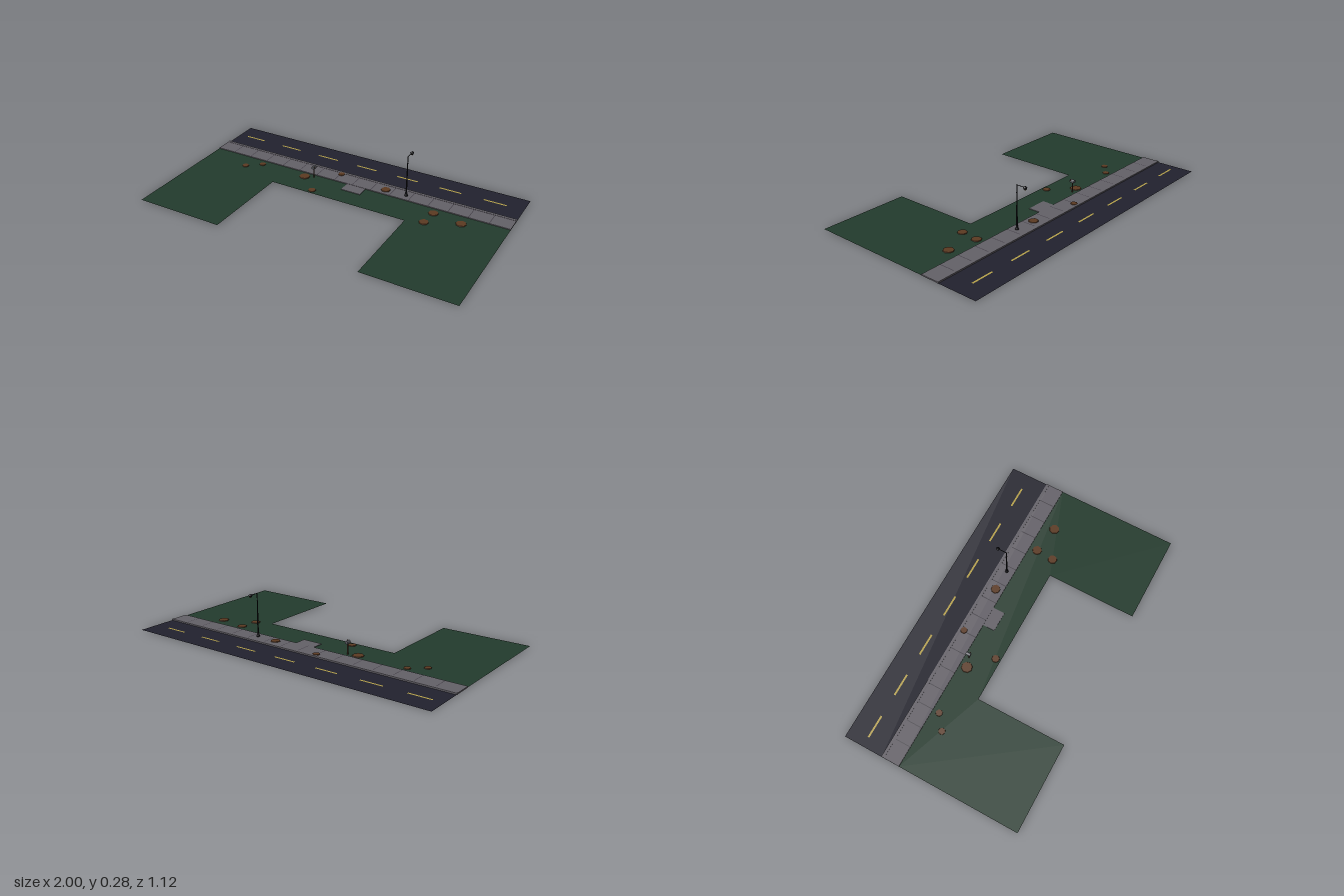
import * as THREE from 'three';

const mat = (name, color, side = THREE.FrontSide) => {
  const m = new THREE.MeshStandardMaterial({ color, side });
  m.name = name;
  return m;
};

export function createModel() {
  const root = new THREE.Group();
  root.name = 'streetFront';

  const asphalt = mat('asphalt', 0x22222e, THREE.DoubleSide);
  const grass = mat('grass', 0x233b2d, THREE.DoubleSide);
  const concrete = mat('concrete', 0x646168);
  const joint = mat('joint', 0x454249);
  const paint = mat('roadPaint', 0xb5a04a);
  const leaf = mat('leaves', 0x5c3a22);
  const iron = mat('iron', 0x141418);
  const glow = mat('lampGlow', 0xd8b860);
  const wood = mat('wood', 0x4a3526);
  const tin = mat('tin', 0x5a5c62);

  const add = (parent, name, geo, material, x = 0, y = 0, z = 0) => {
    const mesh = new THREE.Mesh(geo, material);
    mesh.name = name;
    mesh.position.set(x, y, z);
    parent.add(mesh);
    return mesh;
  };
  // Box given by its limits on each axis
  const slab = (parent, name, material, [x0, x1], [y0, y1], [z0, z1]) =>
    add(parent, name, new THREE.BoxGeometry(x1 - x0, y1 - y0, z1 - z0), material,
      (x0 + x1) / 2, (y0 + y1) / 2, (z0 + z1) / 2);
  const flat = (w, d) => new THREE.PlaneGeometry(w, d).rotateX(-Math.PI / 2);

  // Road with dashed centre line
  add(root, 'road', flat(2, 0.245), asphalt, 0, 0.001, -0.4375);
  for (let i = 0; i < 7; i++)
    add(root, 'laneDash', flat(0.14, 0.011), paint, -0.87 + i * 0.2825, 0.0025, -0.44);

  // U-shaped lawn around the empty house plot
  const u = new THREE.Shape([
    [-1, 0.2], [-1, -0.56], [-0.445, -0.56], [-0.445, 0],
    [0.445, 0], [0.445, -0.56], [1, -0.56], [1, 0.2],
  ].map(([x, y]) => new THREE.Vector2(x, y)));
  add(root, 'lawn', new THREE.ShapeGeometry(u).rotateX(-Math.PI / 2), grass, 0, 0.003, 0);

  // Sidewalk, curb, slab joints and front path
  slab(root, 'sidewalk', concrete, [-1, 1], [0.001, 0.008], [-0.298, -0.2]);
  slab(root, 'curb', concrete, [-1, 1], [0, 0.0095], [-0.316, -0.298]);
  for (let i = 0; i < 15; i++)
    add(root, 'sidewalkJoint', flat(0.005, 0.094), joint, -0.875 + i * 0.125, 0.0087, -0.248);
  slab(root, 'frontPath', concrete, [-0.034, 0.093], [0.001, 0.0065], [-0.2, -0.125]);

  // Fallen leaf piles: x, z, radius, ground height
  [
    [-0.71, -0.09, 0.021, 0.003], [-0.625, -0.158, 0.021, 0.003],
    [-0.31, -0.155, 0.034, 0.003], [-0.183, -0.032, 0.024, 0.003],
    [-0.119, -0.284, 0.021, 0.008], [0.205, -0.248, 0.029, 0.008],
    [0.558, -0.15, 0.03, 0.003], [0.548, -0.037, 0.029, 0.003],
    [0.738, -0.123, 0.032, 0.003],
  ].forEach(([x, z, r, y], i) => {
    const pile = add(root, 'leafPile', new THREE.CylinderGeometry(r * 0.95, r, 0.004, 8),
      leaf, x, y + 0.002, z);
    pile.rotation.y = i * 0.7;
  });

  // Street lamp: turned post, arm over the road and hooded lantern
  const lamp = new THREE.Group();
  lamp.name = 'streetLamp';
  lamp.position.set(0.341, 0.008, -0.245);
  root.add(lamp);
  const profile = [
    [0, 0], [0.01, 0], [0.01, 0.004], [0.007, 0.01], [0.005, 0.016], [0.005, 0.019],
    [0.007, 0.019], [0.007, 0.022], [0.0045, 0.024], [0.0035, 0.185], [0.0028, 0.187],
    [0.0028, 0.215], [0.0045, 0.216], [0.0045, 0.219], [0.0026, 0.22],
    [0.0026, 0.264], [0, 0.264],
  ].map(([r, y]) => new THREE.Vector2(r, y));
  add(lamp, 'lampPost', new THREE.LatheGeometry(profile, 12), iron);
  add(lamp, 'lampArm', new THREE.CylinderGeometry(0.0023, 0.0023, 0.058, 8).rotateX(Math.PI / 2),
    iron, 0, 0.262, -0.028);
  add(lamp, 'lampHood', new THREE.CylinderGeometry(0.004, 0.012, 0.009, 10), iron, 0, 0.2655, -0.057);
  add(lamp, 'lampBody', new THREE.CylinderGeometry(0.01, 0.008, 0.009, 10), iron, 0, 0.257, -0.057);
  add(lamp, 'lampBulb', new THREE.SphereGeometry(0.007, 10, 6), glow, 0, 0.253, -0.057);

  // Mailbox with rounded top on a post
  const mailbox = new THREE.Group();
  mailbox.name = 'mailbox';
  mailbox.position.set(-0.252, 0.003, -0.173);
  root.add(mailbox);
  slab(mailbox, 'mailboxPost', wood, [-0.0025, 0.0025], [0, 0.066], [-0.0025, 0.0025]);
  const arch = new THREE.Shape();
  arch.moveTo(-0.009, 0);
  arch.lineTo(0.009, 0);
  arch.lineTo(0.009, 0.009);
  arch.absarc(0, 0.009, 0.009, 0, Math.PI, false);
  const box = new THREE.ExtrudeGeometry(arch, { depth: 0.03, bevelEnabled: false, curveSegments: 6 });
  add(mailbox, 'mailboxBody', box, tin, 0, 0.064, -0.015);
  slab(mailbox, 'mailboxFlag', leaf, [0.009, 0.011], [0.073, 0.084], [0.006, 0.01]);

  return root;
}
